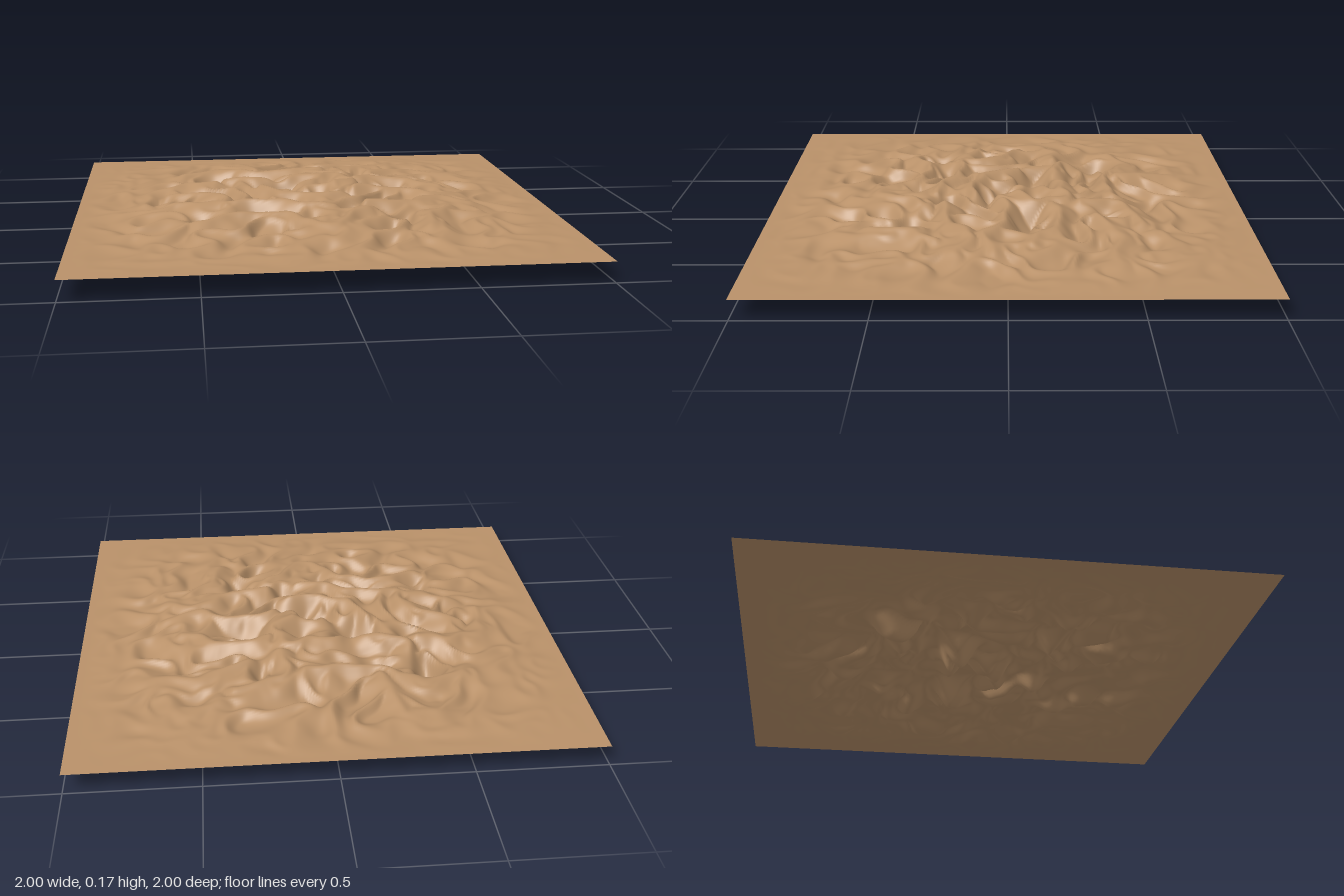
import * as THREE from 'three';

const BASE = 0.081, PEAK = 0.094, PIT = 0.081, SEGMENTS = 220;

// Crest lines of the dunes, as x, z pairs
const crests = [
  [-0.55, -0.47, -0.42, -0.53, -0.3, -0.52, -0.24, -0.44, -0.05, -0.43, 0.08, -0.46],
  [-0.34, -0.4, -0.35, -0.26, -0.25, -0.22, -0.12, -0.2, 0.02, -0.24, 0.14, -0.24, 0.19, -0.1, 0.1, -0.03],
  [-0.38, -0.74, -0.28, -0.75, -0.26, -0.62, -0.2, -0.5],
  [0.17, -0.3, 0.16, -0.42, 0.25, -0.52, 0.36, -0.54],
  [0.45, -0.6, 0.57, -0.68, 0.64, -0.55],
  [0.3, -0.38, 0.5, -0.44, 0.72, -0.41],
  [-0.72, 0.05, -0.7, -0.12, -0.56, -0.22, -0.4, -0.2],
  [-0.62, -0.05, -0.48, 0, -0.4, 0.1, -0.38, 0.22],
  [-0.2, -0.03, -0.12, 0.1, 0.02, 0.17, 0.1, 0.15],
  [-0.6, 0.15, -0.42, 0.2, -0.28, 0.2, -0.1, 0.24, 0.05, 0.3],
  [-0.5, 0.42, -0.3, 0.36, -0.15, 0.4, 0, 0.55, 0.12, 0.42, 0.2, 0.35],
  [0.2, 0, 0.36, 0.02, 0.5, 0.08, 0.62, 0.05],
  [0.2, 0.25, 0.4, 0.25, 0.5, 0.15, 0.65, 0.2],
  [0.22, -0.2, 0.42, -0.2, 0.58, -0.08],
  [0.42, 0.55, 0.44, 0.4, 0.52, 0.28],
].map((line) => {
  const points = [];
  for (let i = 0; i < line.length; i += 2) points.push(new THREE.Vector3(line[i], 0, line[i + 1]));
  return new THREE.CatmullRomCurve3(points).getPoints(points.length * 5);
});

// Deep hollows: x, z, radius, depth
const hollows = [
  [-0.41, -0.38, 0.085, 0.14], [-0.13, -0.14, 0.065, 0.075], [0.34, -0.09, 0.09, 0.04],
  [-0.2, -0.34, 0.07, 0.06], [0.02, 0.04, 0.06, 0.06], [0.6, -0.32, 0.07, 0.05],
  [-0.66, 0, 0.06, 0.065], [-0.5, 0.32, 0.07, 0.06], [-0.25, 0.29, 0.06, 0.045],
  [0.1, 0.26, 0.06, 0.05], [0.32, 0.38, 0.07, 0.06], [-0.15, 0.5, 0.06, 0.05],
  [0.03, -0.56, 0.07, 0.06], [0.25, -0.4, 0.05, 0.06], [0.52, -0.57, 0.05, 0.06],
];

// Smooth seeded gradient noise
function gradient(ix, iz, dx, dz) {
  const s = Math.sin(ix * 127.1 + iz * 311.7 + 17.3) * 43758.5453;
  const a = (s - Math.floor(s)) * Math.PI * 2;
  return Math.cos(a) * dx + Math.sin(a) * dz;
}

function noise(x, z) {
  const ix = Math.floor(x), iz = Math.floor(z), fx = x - ix, fz = z - iz;
  const fade = (t) => t * t * t * (t * (t * 6 - 15) + 10);
  const mix = THREE.MathUtils.lerp;
  return mix(
    mix(gradient(ix, iz, fx, fz), gradient(ix + 1, iz, fx - 1, fz), fade(fx)),
    mix(gradient(ix, iz + 1, fx, fz - 1), gradient(ix + 1, iz + 1, fx - 1, fz - 1), fade(fx)),
    fade(fz),
  );
}

// Shortest distance to any crest line
function crestDistance(x, z) {
  let best = 1;
  for (const line of crests) {
    for (let i = 1; i < line.length; i++) {
      const a = line[i - 1], dx = line[i].x - a.x, dz = line[i].z - a.z;
      const t = THREE.MathUtils.clamp(((x - a.x) * dx + (z - a.z) * dz) / (dx * dx + dz * dz), 0, 1);
      best = Math.min(best, Math.hypot(x - a.x - t * dx, z - a.z - t * dz));
    }
  }
  return best;
}

// Sharp crests over rounded hollows, fading to flat sand at the border
function relief(x, z) {
  const wx = x + 0.06 * noise(x * 6 + 9, z * 6), wz = z + 0.06 * noise(x * 6, z * 6 + 31);
  const ridged = 1 - Math.min(1, Math.hypot(noise(wx * 6.5 + 3, wz * 6 + 5), 0.04) * 2);
  const bendX = x + 0.04 * noise(x * 9, z * 9 + 70), bendZ = z + 0.05 * noise(x * 9 + 40, z * 9);
  const crest = Math.exp(-Math.hypot(crestDistance(bendX, bendZ), 0.012) / 0.085);
  // smooth maximum of the drawn crests and the finer ripples
  const a = crest * 1.1, b = ridged * 0.85;
  let h = -0.045 + 0.145 * (a + b + Math.hypot(a - b, 0.1)) / 2;
  h += 0.02 * noise(x * 4 + 50, z * 4 + 20);
  for (const [hx, hz, r, depth] of hollows) {
    h -= depth * Math.exp(-((x - hx) ** 2 + (z - hz) ** 2) / (r * r));
  }
  // level the crests to a common height
  if (h > 0) h = 0.1 * Math.tanh(h / 0.1);
  const edge = (t) => Math.max(0, 1 - (t / 0.97) ** 2) ** 1.25;
  return h * edge(x) * edge(z);
}

export function createModel() {
  const group = new THREE.Group();
  group.name = 'terrain';
  const sand = new THREE.MeshStandardMaterial({ color: 0xb99169, side: THREE.DoubleSide });
  sand.name = 'sand';

  const geometry = new THREE.PlaneGeometry(2, 2, SEGMENTS, SEGMENTS).rotateX(-Math.PI / 2);
  const position = geometry.attributes.position;
  const heights = [];
  let high = 0, low = 0;
  for (let i = 0; i < position.count; i++) {
    const h = relief(position.getX(i), position.getZ(i));
    heights.push(h);
    high = Math.max(high, h);
    low = Math.min(low, h);
  }
  // Set the highest crest and the deepest hollow to their levels
  heights.forEach((h, i) => position.setY(i, BASE + (h > 0 ? (PEAK * h) / high : (-PIT * h) / low)));
  geometry.computeVertexNormals();

  const dunes = new THREE.Mesh(geometry, sand);
  dunes.name = 'duneSurface';
  group.add(dunes);
  return group;
}
